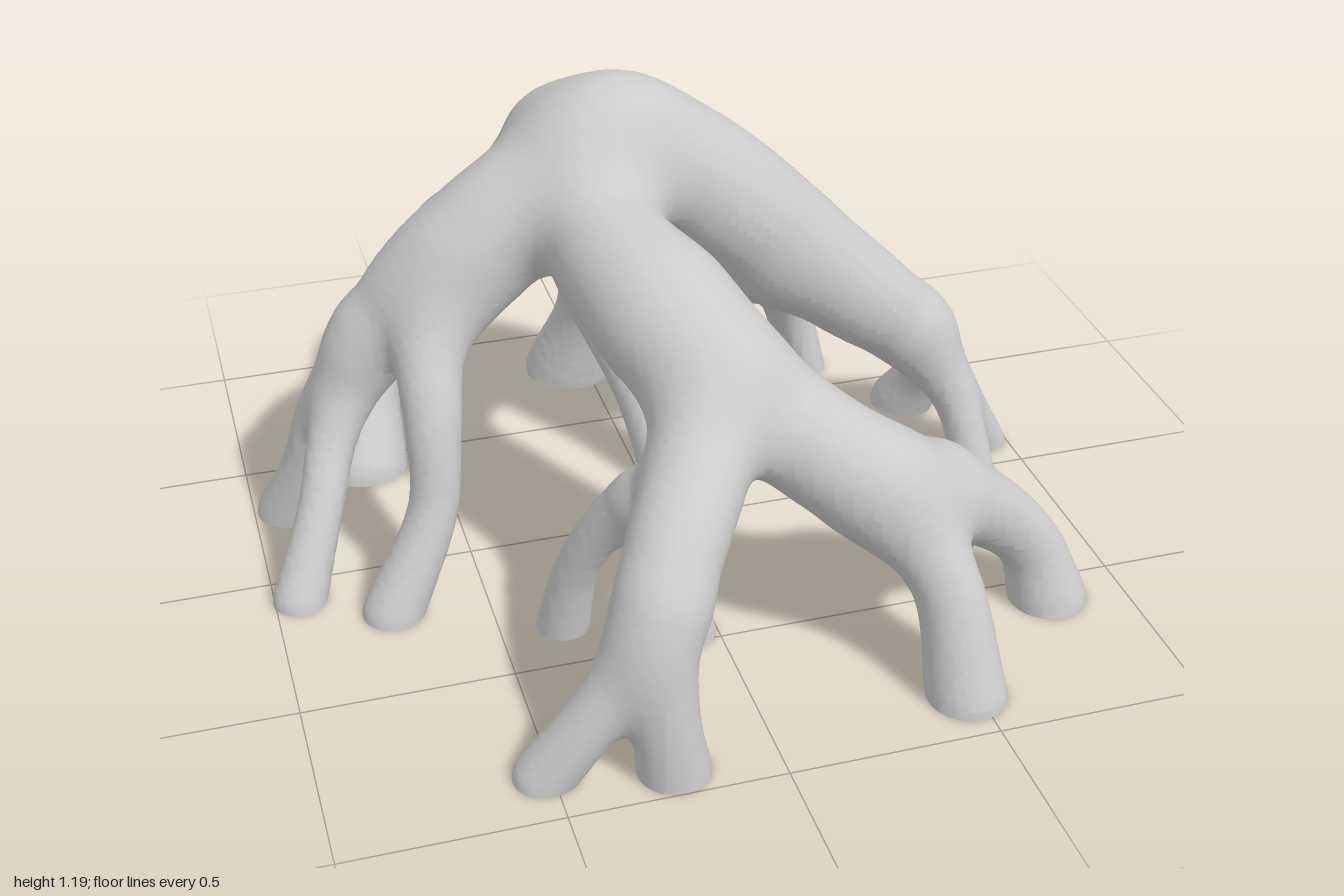
import * as THREE from 'three';

// Every root is a path of [x, y, z, radius] points; together they blend into one skin.
const ROOTS = {
  // ridge running over the crown, from the left cluster to the right cluster
  ridge: [[-0.7, 0.55, -0.16, 0.085], [-0.57, 0.7, -0.14, 0.122], [-0.4, 0.825, -0.115, 0.153], [-0.24, 0.93, -0.12, 0.155],
    [-0.08, 1.045, -0.13, 0.142], [0.07, 0.95, -0.13, 0.152], [0.22, 0.82, -0.125, 0.157], [0.4, 0.655, -0.12, 0.142],
    [0.58, 0.5, -0.11, 0.125], [0.72, 0.385, -0.11, 0.095]],
  westInner: [[-0.47, 0.74, -0.1, 0.11], [-0.57, 0.6, 0, 0.085], [-0.59, 0.45, 0.09, 0.068], [-0.61, 0.25, 0.14, 0.06], [-0.73, 0, 0.19, 0.075]],
  westFront: [[-0.68, 0.57, -0.16, 0.08], [-0.8, 0.36, -0.1, 0.062], [-0.86, 0.2, -0.01, 0.055], [-0.94, 0, 0.08, 0.066]],
  westBack: [[-0.68, 0.57, -0.17, 0.08], [-0.8, 0.36, -0.21, 0.072], [-0.86, 0.17, -0.25, 0.065], [-0.91, 0, -0.31, 0.082]],
  eastBack: [[0.69, 0.41, -0.12, 0.085], [0.79, 0.28, -0.21, 0.074], [0.825, 0.14, -0.29, 0.065], [0.8, 0, -0.37, 0.084]],
  eastOuter: [[0.7, 0.4, -0.1, 0.07], [0.83, 0.21, -0.09, 0.055], [0.945, 0, -0.11, 0.052]],
  eastFront: [[0.7, 0.4, -0.09, 0.07], [0.81, 0.2, -0.03, 0.055], [0.85, 0, 0.03, 0.056]],
  // back root leaving the ridge on the +x side
  backEast: [[0.33, 0.66, -0.16, 0.12], [0.36, 0.53, -0.36, 0.122], [0.4, 0.44, -0.53, 0.108], [0.43, 0.34, -0.68, 0.082],
    [0.43, 0.17, -0.79, 0.065], [0.43, 0, -0.87, 0.078]],
  backEastA: [[0.44, 0.38, -0.63, 0.075], [0.55, 0.2, -0.71, 0.055], [0.62, 0, -0.76, 0.06]],
  backEastB: [[0.45, 0.39, -0.58, 0.065], [0.56, 0.2, -0.62, 0.05], [0.61, 0, -0.61, 0.05]],
  backEastC: [[0.41, 0.36, -0.62, 0.065], [0.35, 0.18, -0.7, 0.048], [0.32, 0, -0.76, 0.052]],
  // back root leaving the crown
  backWest: [[-0.12, 0.99, -0.16, 0.13], [-0.18, 0.985, -0.27, 0.125], [-0.22, 0.83, -0.38, 0.122], [-0.31, 0.66, -0.55, 0.118],
    [-0.4, 0.54, -0.66, 0.095], [-0.47, 0.4, -0.75, 0.07]],
  backWestA: [[-0.45, 0.45, -0.73, 0.07], [-0.5, 0.22, -0.83, 0.05], [-0.53, 0, -0.95, 0.056]],
  backWestB: [[-0.45, 0.45, -0.73, 0.075], [-0.57, 0.23, -0.82, 0.06], [-0.71, 0, -0.88, 0.065]],
  backWestC: [[-0.39, 0.56, -0.64, 0.085], [-0.54, 0.39, -0.64, 0.08], [-0.65, 0.2, -0.56, 0.085], [-0.69, 0, -0.47, 0.114]],
  backMiddle: [[-0.19, 0.83, -0.38, 0.11], [-0.11, 0.68, -0.53, 0.1], [-0.03, 0.5, -0.62, 0.092], [-0.01, 0.25, -0.71, 0.085],
    [-0.045, 0, -0.8, 0.122]],
  underCrown: [[-0.17, 0.75, -0.42, 0.08], [-0.09, 0.5, -0.4, 0.075], [0.02, 0.23, -0.28, 0.07], [0.085, 0, -0.17, 0.085]],
  // front limb and its two forks
  front: [[-0.13, 0.95, -0.1, 0.135], [-0.16, 0.875, 0.1, 0.142], [-0.11, 0.82, 0.3, 0.155], [-0.03, 0.715, 0.48, 0.135]],
  frontEast: [[-0.07, 0.78, 0.34, 0.13], [0.05, 0.67, 0.48, 0.13], [0.17, 0.575, 0.575, 0.132], [0.31, 0.48, 0.63, 0.132],
    [0.48, 0.385, 0.61, 0.108], [0.64, 0.28, 0.56, 0.088], [0.76, 0.15, 0.55, 0.078], [0.81, 0, 0.57, 0.095]],
  frontEastA: [[0.33, 0.45, 0.65, 0.105], [0.44, 0.27, 0.77, 0.08], [0.475, 0, 0.86, 0.094]],
  frontEastB: [[0.49, 0.4, 0.57, 0.085], [0.6, 0.2, 0.47, 0.057], [0.61, 0, 0.38, 0.06]],
  frontWest: [[-0.02, 0.69, 0.5, 0.12], [-0.12, 0.585, 0.67, 0.115], [-0.21, 0.48, 0.8, 0.108], [-0.265, 0.34, 0.885, 0.09],
    [-0.26, 0.16, 0.92, 0.075], [-0.24, 0, 0.915, 0.084]],
  frontWestA: [[-0.25, 0.4, 0.85, 0.085], [-0.38, 0.2, 0.88, 0.065], [-0.52, 0, 0.86, 0.07]],
  frontWestB: [[-0.13, 0.55, 0.62, 0.08], [-0.23, 0.43, 0.51, 0.06], [-0.32, 0.22, 0.41, 0.052], [-0.35, 0, 0.35, 0.064]],
  frontWestC: [[-0.2, 0.46, 0.54, 0.055], [-0.15, 0.2, 0.49, 0.05], [-0.065, 0, 0.46, 0.062]],
};

const STEP = 0.02, NX = 106, NY = 64, NZ = 106;

// Resample a path into short tapered links with a bounding box; thick roots blend more widely
function makeLinks(points) {
  const curve = new THREE.CatmullRomCurve3(points.map(p => new THREE.Vector3(p[0], p[1], p[2])));
  const radii = new THREE.CatmullRomCurve3(points.map(p => new THREE.Vector3(p[3], 0, 0)), false, 'catmullrom');
  const n = (points.length - 1) * 6, nodes = [];
  for (let i = 0; i <= n; i++) nodes.push([...curve.getPoint(i / n).toArray(), radii.getPoint(i / n).x]);
  const lo = [0, 1, 2].map(a => Math.min(...nodes.map(q => q[a])) - 0.26);
  const hi = [0, 1, 2].map(a => Math.max(...nodes.map(q => q[a])) + 0.26);
  return { nodes, lo, hi, blend: points[0][3] * 0.85 };
}
const paths = Object.values(ROOTS).map(makeLinks);

// Smooth union of all roots: negative inside
function field(x, y, z) {
  let d = 0.25;
  for (const { nodes, lo, hi, blend } of paths) {
    if (x < lo[0] || y < lo[1] || z < lo[2] || x > hi[0] || y > hi[1] || z > hi[2]) continue;
    let m = 1;
    for (let i = 1; i < nodes.length; i++) {
      const a = nodes[i - 1], b = nodes[i];
      const ux = b[0] - a[0], uy = b[1] - a[1], uz = b[2] - a[2], px = x - a[0], py = y - a[1], pz = z - a[2];
      const t = Math.max(0, Math.min(1, (px * ux + py * uy + pz * uz) / (ux * ux + uy * uy + uz * uz)));
      const ex = px - t * ux, ey = py - t * uy, ez = pz - t * uz;
      m = Math.min(m, Math.sqrt(ex * ex + ey * ey + ez * ez) - a[3] - t * (b[3] - a[3]));
    }
    const h = Math.max(blend - Math.abs(d - m), 0) / blend;
    d = Math.min(d, m) - h * h * blend * 0.25;
  }
  return d;
}

// Move a point onto the skin; points on the floor slide only sideways
function settle(p, onFloor) {
  const e = 0.004;
  for (let n = 0; n < 3; n++) {
    const f = field(p[0], p[1], p[2]);
    const g = [field(p[0] + e, p[1], p[2]) - field(p[0] - e, p[1], p[2]),
      onFloor ? 0 : field(p[0], p[1] + e, p[2]) - field(p[0], p[1] - e, p[2]),
      field(p[0], p[1], p[2] + e) - field(p[0], p[1], p[2] - e)].map(v => v / (2 * e));
    const k = THREE.MathUtils.clamp(f, -0.01, 0.01) / Math.max(0.3, g[0] * g[0] + g[1] * g[1] + g[2] * g[2]);
    for (let a = 0; a < 3; a++) p[a] -= g[a] * k;
  }
}

// Wrap the field in a quad net, left open where the roots meet the floor
function buildSkin() {
  const stride = [1, NX, NX * NY], values = new Float32Array(NX * NY * NZ).fill(1);
  const at = (i, j, k) => [(i - (NX - 1) / 2) * STEP, (j - 0.5) * STEP, (k - (NZ - 1) / 2) * STEP];
  for (let k = 0; k < NZ; k++) for (let j = 1; j < NY; j++) for (let i = 0; i < NX; i++)
    values[i + j * NX + k * stride[2]] = field(...at(i, j, k));

  const vertexOf = new Int32Array(values.length).fill(-1), positions = [], index = [];
  for (let k = 0; k < NZ - 1; k++) for (let j = 0; j < NY - 1; j++) for (let i = 0; i < NX - 1; i++) {
    const c = i + j * NX + k * stride[2];
    let inside = 0;
    for (let q = 0; q < 8; q++) if (values[c + (q & 1) + (q >> 1 & 1) * NX + (q >> 2) * stride[2]] < 0) inside++;
    if (inside === 0 || inside === (j === 0 ? 4 : 8)) continue;
    const p = at(i + 0.5, j + 0.5, k + 0.5);
    settle(p, j === 0);
    vertexOf[c] = positions.length / 3;
    positions.push(...p);
  }
  for (let k = 1; k < NZ - 1; k++) for (let j = 0; j < NY - 1; j++) for (let i = 1; i < NX - 1; i++) {
    const c = i + j * NX + k * stride[2];
    for (let a = 0; a < 3; a++) {
      const s = values[c] < 0, t = values[c + stride[a]] < 0;
      if (s === t || (a === 1 && j === 0)) continue;
      const b = stride[(a + 1) % 3], d = stride[(a + 2) % 3];
      const q = [c - b - d, c - d, c, c - b].map(v => vertexOf[v]);
      if (t) q.reverse();
      index.push(q[0], q[1], q[2], q[0], q[2], q[3]);
    }
  }
  const geometry = new THREE.BufferGeometry();
  geometry.setAttribute('position', new THREE.Float32BufferAttribute(positions, 3));
  geometry.setIndex(index);
  geometry.computeVertexNormals();
  return geometry;
}

export function createModel() {
  const group = new THREE.Group();
  group.name = 'rootArch';
  const material = new THREE.MeshStandardMaterial({ color: 0xcccccc, side: THREE.DoubleSide });
  material.name = 'pale grey';
  const roots = new THREE.Mesh(buildSkin(), material);
  roots.name = 'roots';
  group.add(roots);
  return group;
}
